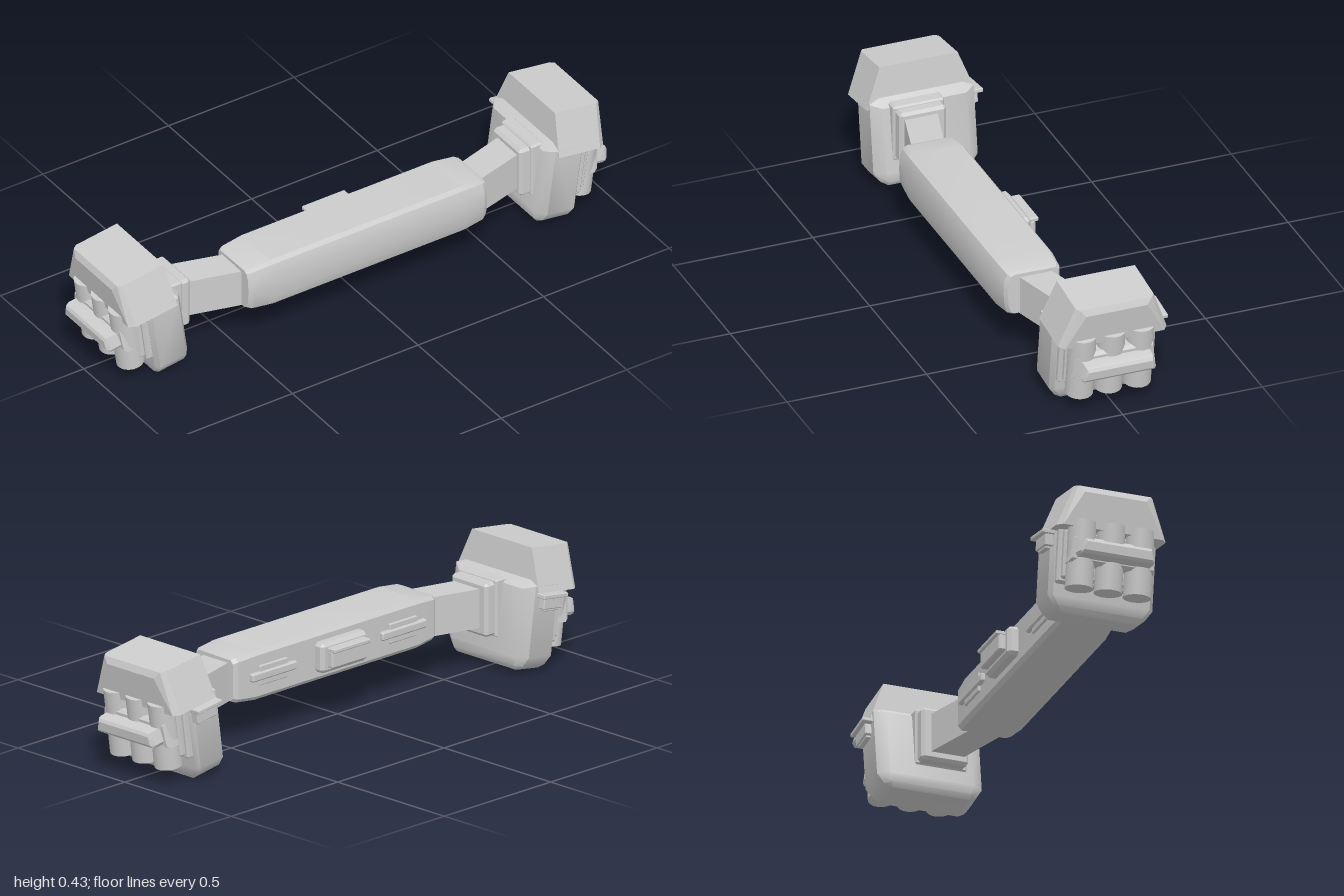
import * as THREE from 'three';
import { ConvexGeometry } from 'three/addons/geometries/ConvexGeometry.js';
import { toCreasedNormals } from 'three/addons/utils/BufferGeometryUtils.js';

const grey = new THREE.MeshStandardMaterial({ color: 0xcccccc });
grey.name = 'grey';

// Convex solid from corner points, with s = -1 mirroring it in x
function hull(name, points, s = 1, crease = 0) {
  let geometry = new ConvexGeometry(points.map(([x, y, z]) => new THREE.Vector3(s * x, y, z)));
  if (crease) geometry = toCreasedNormals(geometry, crease);
  const mesh = new THREE.Mesh(geometry, grey);
  mesh.name = name;
  return mesh;
}

// Box between two limits per axis, with bevelled edges of size c
function bevelBox(name, [x0, x1], [y0, y1], [z0, z1], c = 0.008, s = 1) {
  const h = [(x1 - x0) / 2, (y1 - y0) / 2, (z1 - z0) / 2];
  const m = [(x0 + x1) / 2, (y0 + y1) / 2, (z0 + z1) / 2];
  const points = [];
  for (const i of [-1, 1]) for (const j of [-1, 1]) for (const k of [-1, 1]) {
    for (let a = 0; a < 3; a++) {
      points.push([i, j, k].map((d, n) => m[n] + d * (h[n] - (n === a ? 0 : c))));
    }
  }
  return hull(name, points, s);
}

// Points mirrored about the pouch's own middle plane in z
const bothZ = (list, mid) => list.flatMap(([x, y, z]) => [[x, y, mid + z], [x, y, mid - z]]);

function createPouch(s) {
  const pouch = new THREE.Group();
  pouch.name = s > 0 ? 'leftPouch' : 'rightPouch';
  const mid = 0.007;

  // Body with bevelled corners and a rounded, narrowed base
  pouch.add(hull('pouchBody', bothZ([
    [-0.115, 0.072, 0.15], [-0.09, 0.085, 0.187], [0.015, 0.085, 0.187], [0.028, 0.085, 0.172],
    [-0.085, 0.1, 0.15], [0.028, 0.1, 0.15],
    [-0.115, -0.165, 0.15], [-0.09, -0.16, 0.187], [0.015, -0.16, 0.187], [0.028, -0.16, 0.172],
    [-0.11, -0.195, 0.14], [-0.09, -0.195, 0.163], [0.012, -0.195, 0.163], [0.023, -0.192, 0.15],
    [-0.095, -0.21, 0.138], [0.008, -0.212, 0.138],
  ], mid), s, 0.65));

  // Tapered lid
  pouch.add(hull('pouchLid', bothZ([
    [-0.08, 0.063, 0.195], [0.085, 0.063, 0.195], [0.108, 0.063, 0.178],
    [-0.08, 0.207, 0.14], [0.085, 0.207, 0.14], [0.1, 0.207, 0.13], [0.112, 0.185, 0.109],
  ], mid), s));

  // Outer pocket, canisters and the strap over them
  pouch.add(bevelBox('pocketPanel', [0.02, 0.05], [-0.12, 0.07], [mid - 0.17, mid + 0.17], 0.006, s));
  pouch.add(bevelBox('pocketFace', [0.04, 0.07], [-0.108, 0.06], [mid - 0.157, mid + 0.157], 0.006, s));
  for (const k of [-1, 0, 1]) {
    const canister = new THREE.Mesh(new THREE.CylinderGeometry(0.0475, 0.0475, 0.232, 32), grey);
    canister.name = 'canister';
    canister.position.set(s * 0.08, -0.028, 0.009 + k * 0.1035);
    pouch.add(canister);
  }
  pouch.add(hull('canisterBand', bothZ([
    [0.04, 0.03, 0.138], [0.108, 0.03, 0.138], [0.12, 0.02, 0.135],
    [0.04, -0.062, 0.152], [0.108, -0.062, 0.152], [0.12, -0.052, 0.147],
  ], mid), s));
  pouch.add(hull('strap', bothZ([
    [0.11, 0.01, 0.122], [0.155, 0.01, 0.12], [0.166, 0.006, 0.118], [0.173, -0.004, 0.114],
    [0.11, -0.034, 0.135], [0.11, -0.048, 0.127], [0.155, -0.048, 0.127],
    [0.16, -0.036, 0.133], [0.166, -0.044, 0.127], [0.173, -0.034, 0.123],
  ], mid), s, 0.6));

  // Rear latch, stepped with a projecting lip
  pouch.add(bevelBox('latchBase', [-0.065, 0.025], [0.008, 0.05], [-0.202, -0.17], 0.003, s));
  pouch.add(bevelBox('latchLip', [-0.082, 0.032], [0.048, 0.062], [-0.216, -0.17], 0.002, s));
  pouch.add(bevelBox('latchFoot', [-0.055, 0.015], [0.0, 0.01], [-0.196, -0.17], 0.002, s));

  // Pouches lean outwards at the top
  pouch.position.set(s * 0.83, 0.215, 0);
  pouch.rotation.z = -s * THREE.MathUtils.degToRad(8);
  return pouch;
}

function createBar() {
  const bar = new THREE.Group();
  bar.name = 'centreBar';
  // Bar section as [z, y], tapered in towards both ends
  const section = [
    [0, 0.155], [0, 0.298], [0.012, 0.312], [0.185, 0.314], [0.202, 0.306], [0.212, 0.275],
    [0.215, 0.226], [0.212, 0.178], [0.202, 0.147], [0.185, 0.139], [0.012, 0.141],
  ];
  const points = [];
  for (const [x, ky, kz] of [[0.475, 0.84, 0.84], [0.46, 0.91, 0.93], [0.38, 1, 1]]) {
    for (const s of [-1, 1]) for (const [z, y] of section) {
      points.push([s * x, 0.227 + (y - 0.227) * ky, 0.106 + (z - 0.106) * kz]);
    }
  }
  bar.add(hull('barShell', points, 1, 0.45));

  // Central rear clasp
  bar.add(bevelBox('claspBase', [-0.108, 0.108], [0.175, 0.28], [-0.038, 0.01], 0.012));
  bar.add(bevelBox('claspBlock', [-0.085, 0.085], [0.195, 0.255], [-0.062, -0.03], 0.005));
  bar.add(bevelBox('claspLip', [-0.085, 0.085], [0.25, 0.265], [-0.072, -0.03], 0.003));

  // Rear clips on either side
  for (const s of [-1, 1]) {
    bar.add(bevelBox('clipPlate', [0.2, 0.41], [0.212, 0.242], [-0.014, 0.01], 0.005, s));
    bar.add(bevelBox('clipBack', [0.24, 0.37], [0.192, 0.262], [-0.007, 0.01], 0.003, s));
  }
  return bar;
}

export function createModel() {
  const model = new THREE.Group();
  model.name = 'utilityBelt';
  model.add(createBar());
  for (const s of [-1, 1]) {
    // Slanted arm and stepped collar joining the bar to each pouch
    const arm = [];
    for (const [x, z0, z1] of [[0.44, 0.05, 0.165], [0.72, -0.03, 0.09]]) {
      for (const y of [0.15, 0.287]) arm.push([x, y, z0], [x, y, z1]);
    }
    model.add(hull('arm', arm, s));
    model.add(bevelBox('collar', [0.655, 0.73], [0.122, 0.31], [-0.044, 0.124], 0.01, s));
    model.add(bevelBox('collarBase', [0.695, 0.745], [0.116, 0.318], [-0.052, 0.132], 0.006, s));
    model.add(createPouch(s));
  }
  return model;
}
